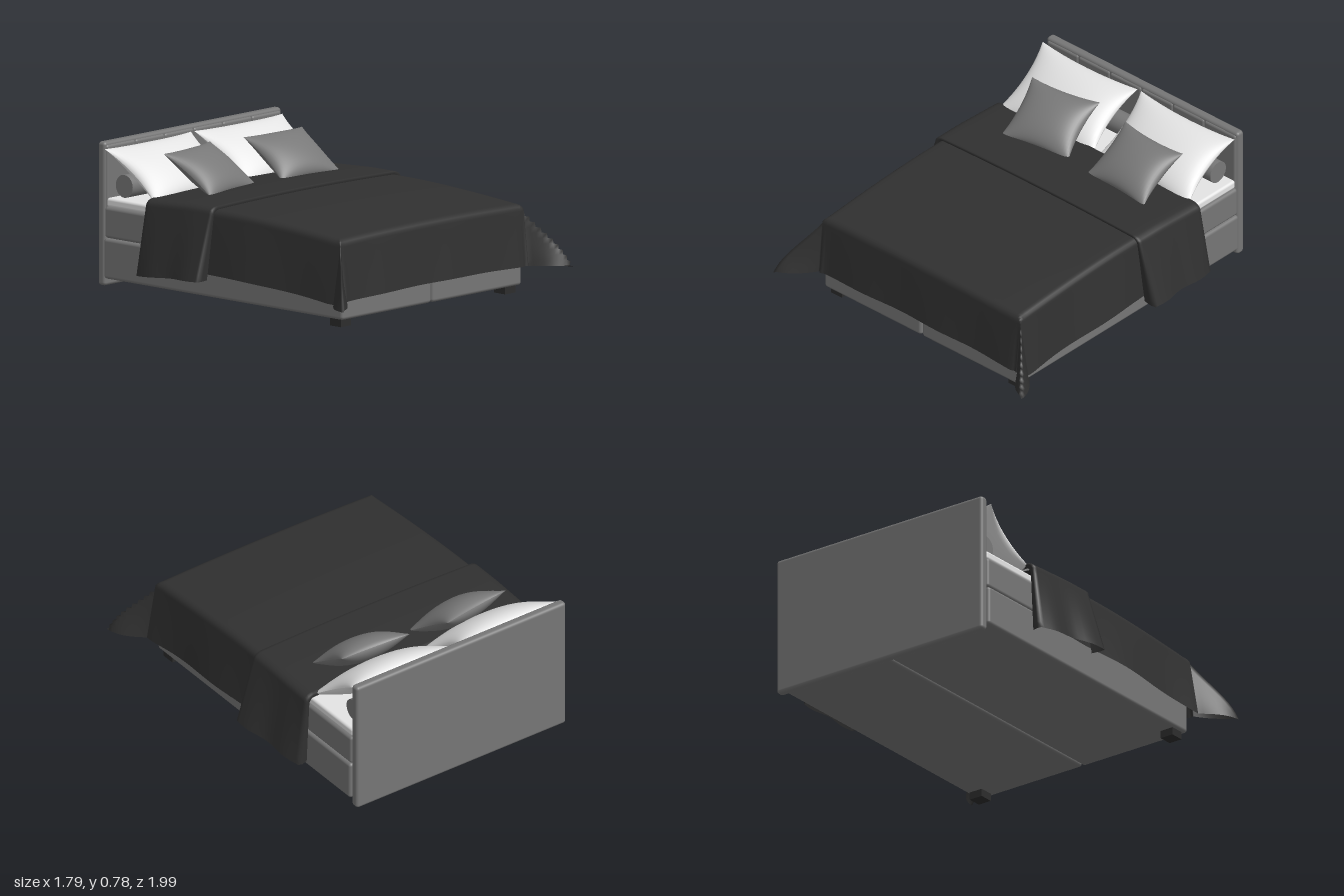
import * as THREE from 'three';
import { RoundedBoxGeometry } from 'three/addons/geometries/RoundedBoxGeometry.js';

const paint = (name, color, side = THREE.FrontSide) => {
  const m = new THREE.MeshStandardMaterial({ color, side });
  m.name = name;
  return m;
};

// Smooth surface through fn(u, v) -> [x, y, z], facing dv x du
function gridGeometry(us, vs, fn) {
  const pos = [], idx = [], n = vs.length;
  us.forEach(u => vs.forEach((v, j) => pos.push(...fn(u, v, j))));
  for (let i = 0; i < us.length - 1; i++) {
    for (let j = 0; j < n - 1; j++) {
      const a = i * n + j, b = a + n;
      idx.push(a, a + 1, b, b, a + 1, b + 1);
    }
  }
  const g = new THREE.BufferGeometry();
  g.setAttribute('position', new THREE.Float32BufferAttribute(pos, 3));
  g.setIndex(idx);
  g.computeVertexNormals();
  return g;
}

const range = (a, b, n) => Array.from({ length: n + 1 }, (_, i) => a + (b - a) * i / n);

// Cloth section over an edge: s < 0 lies flat, 0..1 bends, 1..2 hangs
const BEND = 0.04;
function overEdge(s, flare, drop) {
  if (s <= 0) return { out: 0, down: 0, hang: 0 };
  if (s <= 1) {
    const t = s * Math.PI / 2;
    return { out: BEND * Math.sin(t), down: BEND * (1 - Math.cos(t)), hang: 0 };
  }
  const h = s - 1;
  return { out: BEND + flare * h, down: BEND + (drop - BEND) * h, hang: h };
}

const topHeight = (x, z) =>
  0.535 - 0.045 * Math.pow(Math.max(0, z) / 0.8, 1.6) - 0.012 * (x / 0.7) ** 2
  - 0.015 * Math.max(0, (-z - 0.3) / 0.3);

// Samples: hanging + bending, from the hem inwards
const edgeSamples = [...range(2, 1, 10), ...range(0.8, 0, 4)];

// Lateral samples: |u| <= 1 flat, beyond that s = |u| - 1
const across = [
  ...edgeSamples.map(s => -1 - s),
  ...range(-0.95, 0.95, 20),
  ...edgeSamples.slice().reverse().map(s => 1 + s),
];

export function createModel() {
  const bed = new THREE.Group();
  bed.name = 'bed';

  const upholstery = paint('grey upholstery', 0x767676);
  const cushionGrey = paint('cushion grey', 0x787878);
  const linen = paint('white linen', 0xe4e4e4);
  const blanketDark = paint('charcoal blanket', 0x303030, THREE.DoubleSide);
  const footDark = paint('dark feet', 0x2c2c2c);

  const add = (name, geometry, material, x = 0, y = 0, z = 0) => {
    const m = new THREE.Mesh(geometry, material);
    m.name = name;
    m.position.set(x, y, z);
    bed.add(m);
    return m;
  };
  // Rounded box given by its limits
  const block = (name, mat, [x0, x1], [y0, y1], [z0, z1], r) =>
    add(name, new RoundedBoxGeometry(x1 - x0, y1 - y0, z1 - z0, 3, r), mat,
      (x0 + x1) / 2, (y0 + y1) / 2, (z0 + z1) / 2);

  // Headboard with a row of soft pads
  block('headboard', upholstery, [-0.69, 0.69], [0, 0.78], [-1, -0.948], 0.018);
  const pads = 6, padWidth = 1.36 / pads;
  for (let i = 0; i < pads; i++) {
    const x = -0.68 + i * padWidth;
    block('headboardPad', upholstery, [x, x + padWidth], [0.3, 0.765], [-0.975, -0.94], 0.015);
  }

  // Split base, mattress and topper, feet
  for (const s of [-1, 1]) {
    const span = s < 0 ? [-0.7, -0.003] : [0.003, 0.7];
    block('base', upholstery, span, [0.042, 0.262], [-0.95, 0.8], 0.018);
    block('mattress', upholstery, s < 0 ? [-0.692, -0.002] : [0.002, 0.692],
      [0.262, 0.432], [-0.95, 0.785], 0.018);
    add('foot', new THREE.BoxGeometry(0.08, 0.05, 0.08), footDark, s * 0.64, 0.025, 0.73);
  }
  block('topper', linen, [-0.68, 0.68], [0.43, 0.479], [-0.945, 0.76], 0.015);

  // Main blanket: hangs at the sides and foot, corners flare out to points
  const W = 0.715 - BEND, L = 0.8 - BEND;
  const along = [...range(-0.52, L - 0.02, 24), ...edgeSamples.slice().reverse().map(s => 10 + s)];
  add('blanket', gridGeometry(across, along, (u, v) => {
    const side = Math.sign(u), flat = Math.min(Math.abs(u), 1);
    const a = overEdge(Math.abs(u) - 1, 0.05, 0.345);
    const b = overEdge(v >= 10 ? v - 10 : -1, 0.03, 0.335);
    const zFlat = v >= 10 ? L : v;
    const m = Math.min(a.hang, b.hang);
    const puffA = 0.03 * Math.sin(Math.PI * b.hang) * a.hang;
    const puffB = 0.03 * Math.sin(Math.PI * a.hang) * b.hang;
    const ripple = 0.008 * a.hang * (1 - b.hang) * Math.sin(zFlat * 9);
    const frontRipple = 0.005 * b.hang * (1 - a.hang) * Math.sin(u * 8);
    const x = side * (W * flat + a.out + 0.13 * m + puffA + ripple);
    const z = zFlat + b.out + 0.16 * m + puffB + frontRipple;
    const y = topHeight(W * flat, zFlat) - Math.max(a.down, b.down);
    return [x, y, z];
  }), blanketDark);

  // Turned-back fold lying over the blanket, with tucked front and back edges
  const foldRows = [-0.595, -0.605, -0.6, ...range(-0.58, -0.14, 10), -0.125, -0.12, -0.13];
  add('blanketFold', gridGeometry(across, foldRows, (u, z, j) => {
    const lift = j === 0 || j === foldRows.length - 1 ? -0.012
      : j === 1 || j === foldRows.length - 2 ? 0.006 : 0.016;
    const t = (z + 0.6) / 0.48;
    const a = overEdge(Math.abs(u) - 1, 0.045 + 0.035 * t, 0.395 - 0.02 * t);
    const wave = 0.008 * a.hang * Math.sin(z * 22);
    const flat = Math.min(Math.abs(u), 1);
    const x = Math.sign(u) * ((W + 0.008) * flat + a.out + wave + (a.out > 0 ? lift * a.out / BEND : 0));
    const y = topHeight(W * flat, z) + lift * (1 - a.hang) - a.down;
    return [x, y, z - 0.015 * a.hang * (1 - t)];
  }), blanketDark);

  // Bolster behind the pillows
  const bolster = add('bolster', new THREE.CylinderGeometry(0.062, 0.062, 1.24, 32), cushionGrey, 0, 0.542, -0.87);
  bolster.rotation.z = Math.PI / 2;

  // Stuffed pillow: two bulging faces with pulled-in edges and sharp corners
  const steps = range(-1, 1, 24).map(t => Math.sin(t * Math.PI / 2));
  function pillow(name, mat, w, h, depth, position, turn, lean) {
    const p = new THREE.Group();
    p.name = name;
    for (const s of [1, -1]) {
      const g = gridGeometry(steps, steps, (u, v) => {
        const eu = 1 - u * u, ev = 1 - v * v;
        const bulge = depth * Math.pow(Math.max(0, eu * ev), 0.55);
        return [
          s * w * u * (1 - 0.11 * ev * u * u),
          h * v * (1 - 0.09 * eu * v * v),
          -s * bulge,
        ];
      });
      const m = new THREE.Mesh(g, mat);
      m.name = name + (s > 0 ? 'Back' : 'Front');
      p.add(m);
    }
    p.position.set(...position);
    p.rotation.set(-lean, turn, 0, 'YXZ');
    bed.add(p);
  }
  pillow('rightPillow', linen, 0.34, 0.222, 0.078, [-0.362, 0.622, -0.755], 0.01, 0.97);
  pillow('leftPillow', linen, 0.34, 0.222, 0.078, [0.338, 0.622, -0.755], -0.01, 0.97);
  pillow('rightCushion', cushionGrey, 0.218, 0.185, 0.07, [-0.295, 0.63, -0.545], 0.15, 0.98);
  pillow('leftCushion', cushionGrey, 0.218, 0.18, 0.07, [0.325, 0.63, -0.53], -0.05, 0.98);

  return bed;
}
